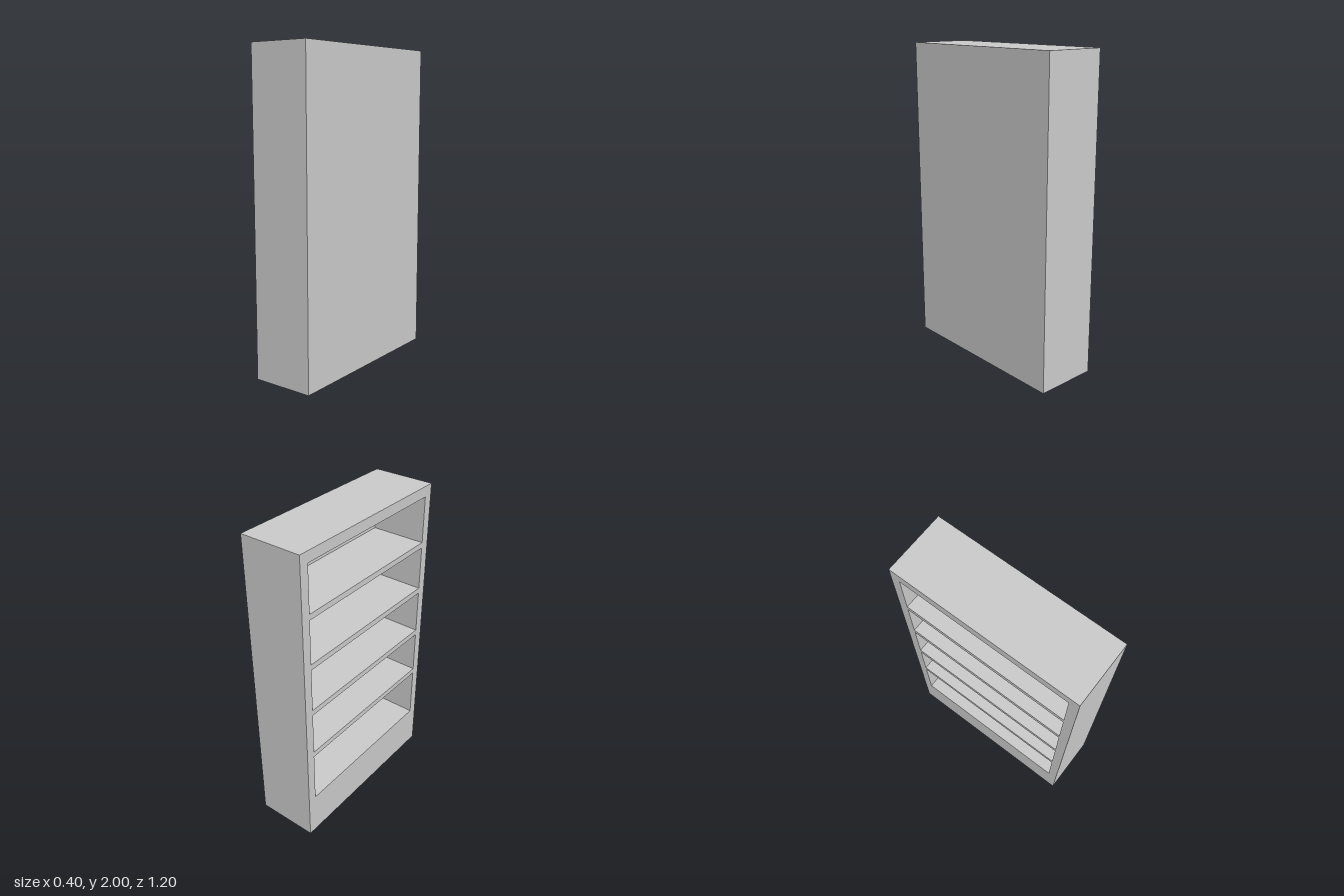
import * as THREE from 'three';

// Bookcase: closed back on +x, shelves open towards -x.
const W = 0.4, H = 2, L = 1.2;          // depth (x), height (y), length (z)
const SIDE = 0.06, BACK = 0.04;         // board thicknesses
const BASE = 0.287, TOP = 1.933;        // inner floor and ceiling heights
const SHELF = 0.037, SHELF_TOPS = [0.668, 0.99, 1.312, 1.635];

export function createModel() {
  const group = new THREE.Group();
  group.name = 'bookcase';
  const material = new THREE.MeshStandardMaterial({ color: 0xcccccc });

  // Adds a board given its lower and upper corner on each axis
  const board = (name, [x0, x1], [y0, y1], [z0, z1]) => {
    const mesh = new THREE.Mesh(new THREE.BoxGeometry(x1 - x0, y1 - y0, z1 - z0), material);
    mesh.position.set((x0 + x1) / 2, (y0 + y1) / 2, (z0 + z1) / 2);
    mesh.name = name;
    group.add(mesh);
  };

  const depth = [-W / 2, W / 2 - BACK];
  const inner = [-L / 2 + SIDE, L / 2 - SIDE];

  // Carcass
  board('backPanel', [W / 2 - BACK, W / 2], [0, H], [-L / 2, L / 2]);
  board('frontSidePanel', depth, [0, H], [inner[1], L / 2]);
  board('rearSidePanel', depth, [0, H], [-L / 2, inner[0]]);
  board('topPanel', depth, [TOP, H], inner);
  board('plinth', depth, [0, BASE], inner);

  // Shelves, flush with the open face
  SHELF_TOPS.forEach((y, i) => board(`shelf${i + 1}`, depth, [y - SHELF, y], inner));

  return group;
}
